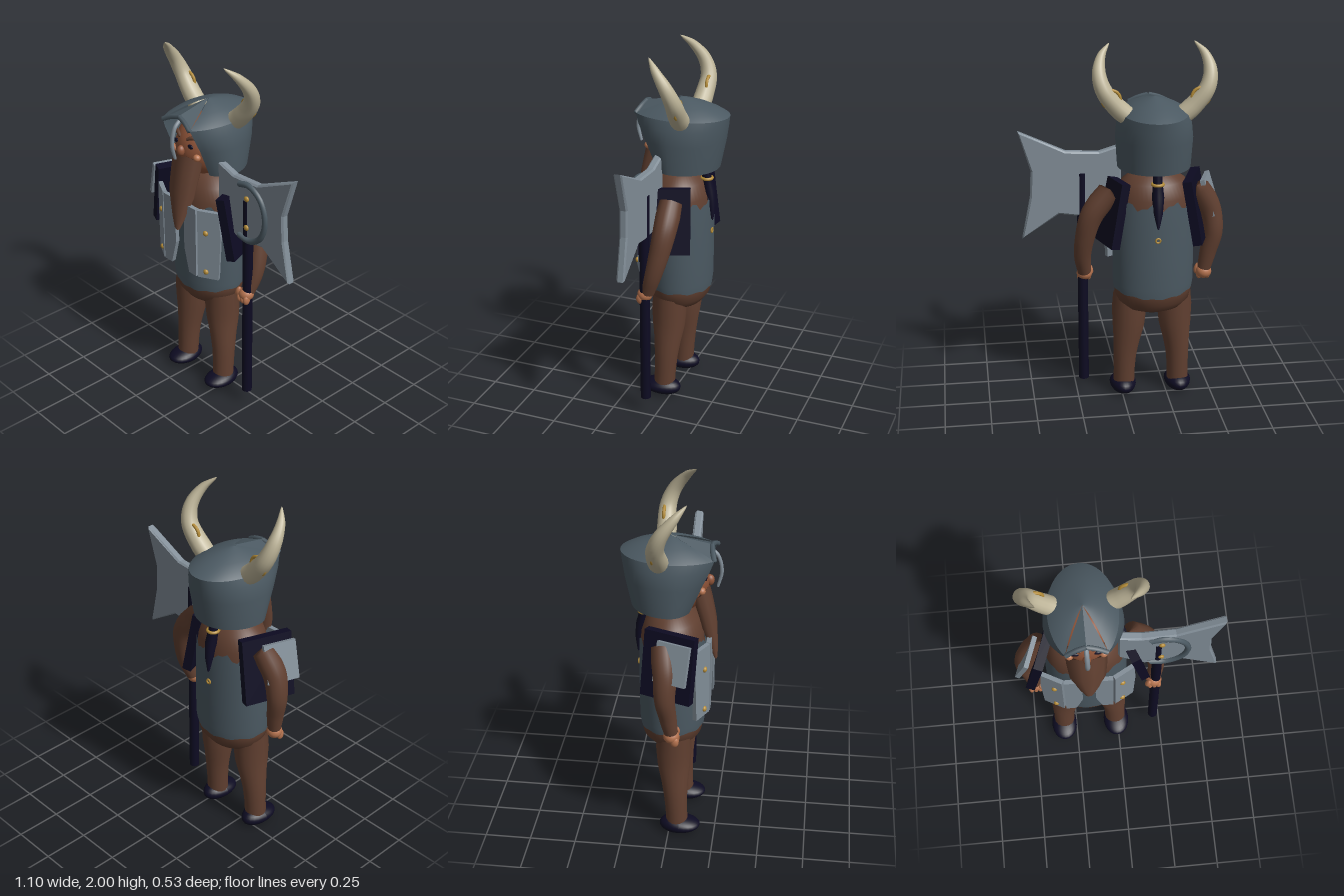
import * as THREE from 'three';

const mat = (name, color, side = THREE.FrontSide) => {
  const m = new THREE.MeshStandardMaterial({ color, side });
  m.name = name;
  return m;
};
const V = (p) => new THREE.Vector3(...p);

export function createModel() {
  const root = new THREE.Group();
  root.name = 'hornedWarrior';
  const body = new THREE.Group();
  body.name = 'body';
  body.position.x = -0.167;
  root.add(body);

  const brown = mat('brown cloth and beard', 0x603f30);
  const darkSteel = mat('dark steel', 0x4b5962, THREE.DoubleSide);
  const steel = mat('light steel', 0x818d97);
  const navy = mat('navy leather', 0x0d0b22);
  const skin = mat('skin', 0x8e5338);
  const lightSkin = mat('light skin', 0xb5734f);
  const horn = mat('horn', 0xbdb498);
  const gold = mat('gold', 0xb48c38);

  const add = (parent, name, geo, material, pos = [0, 0, 0], rot = [0, 0, 0]) => {
    const m = new THREE.Mesh(geo, material);
    m.name = name;
    m.position.set(...pos);
    m.rotation.set(...rot);
    parent.add(m);
    return m;
  };
  const ball = (parent, name, material, pos, size, rot) => {
    const g = new THREE.SphereGeometry(1, 20, 14);
    g.scale(...size);
    return add(parent, name, g, material, pos, rot);
  };
  // tapered tube along a curve, closed at both ends; flat squeezes it in z
  const sweep = (points, radii, flat = 1, sides = 16) => {
    const curve = new THREE.CatmullRomCurve3(points.map(V));
    const n = 36, g = new THREE.TubeGeometry(curve, n, 1, sides, false);
    const p = g.attributes.position, v = new THREE.Vector3();
    for (let i = 0; i <= n; i++) {
      const c = curve.getPointAt(i / n);
      const f = (i / n) * (radii.length - 1), k = Math.min(Math.floor(f), radii.length - 2);
      const r = i === 0 || i === n ? 0 : THREE.MathUtils.lerp(radii[k], radii[k + 1], f - k);
      for (let j = 0; j <= sides; j++) {
        const id = i * (sides + 1) + j;
        v.fromBufferAttribute(p, id).sub(c).multiplyScalar(r);
        p.setXYZ(id, c.x + v.x, c.y + v.y, c.z + v.z * flat);
      }
    }
    return g;
  };
  const extrude = (pts, depth, bevel) => new THREE.ExtrudeGeometry(
    new THREE.Shape(pts.map((p) => new THREE.Vector2(...p))),
    { depth, bevelEnabled: bevel > 0, bevelSize: bevel, bevelThickness: bevel, bevelSegments: 1 });
  const lathe = (pts) => {
    const g = new THREE.LatheGeometry(pts.map((p) => new THREE.Vector2(...p)), 48);
    g.scale(0.216, 1, 0.172);
    return g;
  };

  // torso and mail shirt with ragged hems
  add(body, 'torso', lathe([[0, 0.52], [0.4, 0.527], [0.72, 0.555], [0.92, 0.6], [0.99, 0.66], [1, 0.75],
    [0.99, 1.1], [0.94, 1.2], [0.8, 1.28], [0.5, 1.33], [0, 1.36]]), brown, [0, 0, 0.004]);
  const shirtPts = [[0.99, 0.64], [1.02, 0.7], [1.025, 0.85], [1.025, 1.05], [1, 1.17]];
  const shirt = lathe(shirtPts), sp = shirt.attributes.position;
  for (let i = 0; i < sp.count; i++) {
    const row = i % shirtPts.length, a = Math.atan2(sp.getX(i), sp.getZ(i));
    if (row === 4) sp.setY(i, 1.17 + 0.018 * Math.sin(9 * a) + 0.012 * Math.sin(17 * a));
    if (row === 0) sp.setY(i, 0.645 + 0.02 * Math.sin(a) ** 2 + 0.004 * Math.sin(11 * a));
  }
  add(body, 'mailShirt', shirt, darkSteel, [0, 0, 0.004]);

  // paired parts
  for (const s of [-1, 1]) {
    const side = s > 0 ? 'left' : 'right';
    add(body, side + 'Leg', sweep([[s * 0.125, 0.63, 0.025], [s * 0.13, 0.45, 0.025], [s * 0.148, 0.25, 0.035],
      [s * 0.154, 0.05, 0.045]], [0.09, 0.097, 0.09, 0.075, 0.065, 0.06, 0.06]), brown);
    const shoe = new THREE.SphereGeometry(1, 24, 16), q = shoe.attributes.position;
    for (let i = 0; i < q.count; i++) {
      const z = q.getZ(i);
      q.setXYZ(i, q.getX(i) * (0.074 + 0.006 * z), Math.max(0, 0.045 + q.getY(i) * (0.046 - 0.01 * z)), 0.06 + z * 0.112);
    }
    shoe.computeVertexNormals();
    add(body, side + 'Shoe', shoe, navy, [s * 0.157, 0.003, 0]);

    // folded chest plate in two panels
    const inner = [[0.045, 1.2], [0.13, 1.2], [0.13, 0.79], [0.072, 0.79], [0.035, 0.93], [0.035, 1.03]];
    const outer = [[0, 1.2], [0.12, 1.2], [0.13, 1.05], [0.118, 0.79], [0, 0.79]];
    const flip = (pts) => pts.map(([x, y]) => [s * x, y]);
    add(body, side + 'ChestPlate', extrude(flip(inner), 0.024, 0), steel, [0, 0, 0.192]);
    add(body, side + 'ChestPlateSide', extrude(flip(outer), 0.024, 0), steel, [s * 0.129, 0, 0.192], [0, s * 0.5, 0]);
    for (const y of [0.83, 1.07]) ball(body, side + 'PlateRivet', gold, [s * 0.18, y, 0.19], [0.016, 0.016, 0.013]);

    // shoulder guard
    add(body, side + 'ShoulderGuard', new THREE.BoxGeometry(0.05, 0.36, 0.28), navy,
      [s * 0.238, 1.11, 0.012], [0, s * 0.34, s * 0.18]);

    // horn with loose gold ring
    add(body, side + 'Horn', sweep([[s * 0.12, 1.62, -0.045], [s * 0.2, 1.69, -0.05], [s * 0.27, 1.78, -0.05],
      [s * 0.292, 1.86, -0.02], [s * 0.275, 1.94, 0.04], [s * 0.225, 2, 0.1]],
    [0.05, 0.052, 0.048, 0.042, 0.034, 0.022, 0.003]), horn);
    add(body, side + 'HornRing', new THREE.TorusGeometry(0.047, 0.009, 8, 24), gold, [s * 0.235, 1.74, -0.065]);

    // face details
    ball(body, side + 'Eye', navy, [s * 0.055, 1.53, 0.178], [0.02, 0.012, 0.008]);
    ball(body, side + 'Cheek', lightSkin, [s * 0.087, 1.472, 0.162], [0.021, 0.02, 0.02]);
    add(body, side + 'Brow', sweep([[s * 0.025, 1.562, 0.178], [s * 0.06, 1.577, 0.164], [s * 0.1, 1.56, 0.143]],
      [0.008, 0.012, 0.006], 1, 8), brown);
  }

  // outer steel plate on the right shoulder
  add(body, 'rightShoulderPlate', new THREE.BoxGeometry(0.025, 0.21, 0.18), steel, [-0.315, 1.17, 0.035], [0, -0.34, -0.3]);

  // arms and hands
  const arms = [
    ['right', [[-0.4, 1.24, -0.02], [-0.475, 1.1, 0], [-0.497, 0.97, 0], [-0.475, 0.84, 0.015], [-0.456, 0.73, 0.03]], [-0.458, 0.72, 0.03]],
    ['left', [[0.07, 1.24, -0.03], [0.17, 1.1, -0.03], [0.205, 0.97, -0.01], [0.217, 0.85, 0.02], [0.203, 0.73, 0.06]], [0.203, 0.73, 0.07]],
  ];
  for (const [side, path, h] of arms) {
    add(root, side + 'Arm', sweep(path, [0.06, 0.066, 0.062, 0.056, 0.05, 0.044, 0.036]), brown);
    ball(root, side + 'Fist', lightSkin, h, [0.043, 0.04, 0.042]);
    const s = side === 'left' ? -1 : 1;
    for (const k of [-1, 0, 1]) {
      ball(root, side + 'Finger', lightSkin, [h[0] + k * 0.024, h[1] - 0.022, h[2] + 0.02], [0.016, 0.03, 0.022]);
    }
    ball(root, side + 'Thumb', lightSkin, [h[0] + s * 0.035, h[1] + 0.01, h[2] + 0.025], [0.015, 0.032, 0.017], [0, 0, s * 0.3]);
  }

  // head, nose and beard
  ball(body, 'head', skin, [0, 1.49, 0.03], [0.145, 0.17, 0.165]);
  ball(body, 'nose', skin, [0, 1.495, 0.195], [0.022, 0.03, 0.024]);
  add(body, 'beard', sweep([[0, 1.455, 0.145], [0, 1.3, 0.185], [0, 1.15, 0.215], [0, 1.03, 0.235]],
    [0.108, 0.106, 0.1, 0.094, 0.07, 0.045, 0.015], 0.4, 10), brown);

  // helmet: rows of [y, half width, back depth, front depth] swept round an open front
  const open = 2.5;
  const helmetShell = (rows) => {
    const n = 40, g = new THREE.PlaneGeometry(1, 1, n, rows.length - 1), p = g.attributes.position;
    rows.forEach(([y, w, b, f], r) => {
      for (let i = 0; i <= n; i++) {
        const a = open * (1 - (2 * i) / n), c = Math.cos(a);
        p.setXYZ(r * (n + 1) + i, w * Math.sin(a), y, c > 0 ? -b * c : -f * c);
      }
    });
    g.computeVertexNormals();
    return g;
  };
  const rim = [1.652, 0.178, 0.262, 0.28];
  add(body, 'helmetWall', helmetShell([rim, [1.6, 0.197, 0.255, 0.255], [1.52, 0.206, 0.243, 0.21],
    [1.36, 0.196, 0.21, 0.128]]), darkSteel);
  add(body, 'helmetRoof', helmetShell([[1.735, 0.002, 0.002, 0.002], [1.722, 0.05, 0.075, 0.06],
    [1.7, 0.105, 0.155, 0.14], [1.675, 0.15, 0.22, 0.22], rim]), darkSteel);
  const peak = new THREE.BufferGeometry();
  const corner = [0.178 * Math.sin(open), 1.652, -0.28 * Math.cos(open)];
  peak.setAttribute('position', new THREE.Float32BufferAttribute([
    0, 1.737, 0, -corner[0], corner[1], corner[2], 0, 1.695, 0.205,
    0, 1.737, 0, 0, 1.695, 0.205, ...corner], 3));
  peak.computeVertexNormals();
  add(body, 'helmetPeak', peak, darkSteel);
  for (const s of [-1, 1]) {
    add(body, 'helmetBrowRim', sweep([[0, 1.692, 0.203], [s * 0.055, 1.676, 0.212], [corner[0] * s, 1.65, corner[2]]],
      [0.014, 0.014, 0.014], 1, 6), darkSteel);
  }
  add(body, 'noseGuard', sweep([[0, 1.67, 0.2], [0, 1.635, 0.235], [0, 1.55, 0.255], [0, 1.455, 0.235]],
    [0.012, 0.013, 0.013, 0.01], 0.7, 8), steel);

  // braid behind, with its ring and a small bead on the shirt
  add(body, 'braid', sweep([[0, 1.4, -0.13], [0, 1.28, -0.145], [0, 1.17, -0.165], [0, 1.05, -0.178]],
    [0.027, 0.025, 0.033, 0.024, 0.004]), navy);
  add(body, 'braidRing', new THREE.TorusGeometry(0.028, 0.009, 8, 20), gold, [0, 1.295, -0.143], [Math.PI / 2, 0, 0]);
  add(body, 'backBead', new THREE.TorusGeometry(0.012, 0.005, 6, 14), gold, [0, 0.99, -0.176]);

  // axe
  const axe = new THREE.Group();
  axe.name = 'axe';
  root.add(axe);
  add(axe, 'axeHandle', new THREE.CylinderGeometry(0.028, 0.028, 1.22, 16), navy, [0.212, 0.7, 0.068]);
  add(axe, 'axeBlade', extrude([[0.01, 1.45], [0.12, 1.415], [0.3, 1.425], [0.54, 1.54], [0.475, 1.33], [0.482, 1.185],
    [0.53, 0.965], [0.34, 1.095], [0.245, 1.08], [0.14, 1.08], [0.01, 1.2]], 0.028, 0.009), steel, [0, 0, 0.054]);
  add(axe, 'axeRim', sweep([[0.155, 1.395, 0.093], [0.25, 1.41, 0.093], [0.33, 1.36, 0.093], [0.365, 1.25, 0.093],
    [0.33, 1.14, 0.093], [0.25, 1.088, 0.093], [0.155, 1.1, 0.093]], [0.017, 0.017], 1, 10), darkSteel);
  for (const y of [1.16, 1.33]) ball(axe, 'axeRivet', gold, [0.227, y, 0.096], [0.016, 0.016, 0.01]);

  return root;
}
